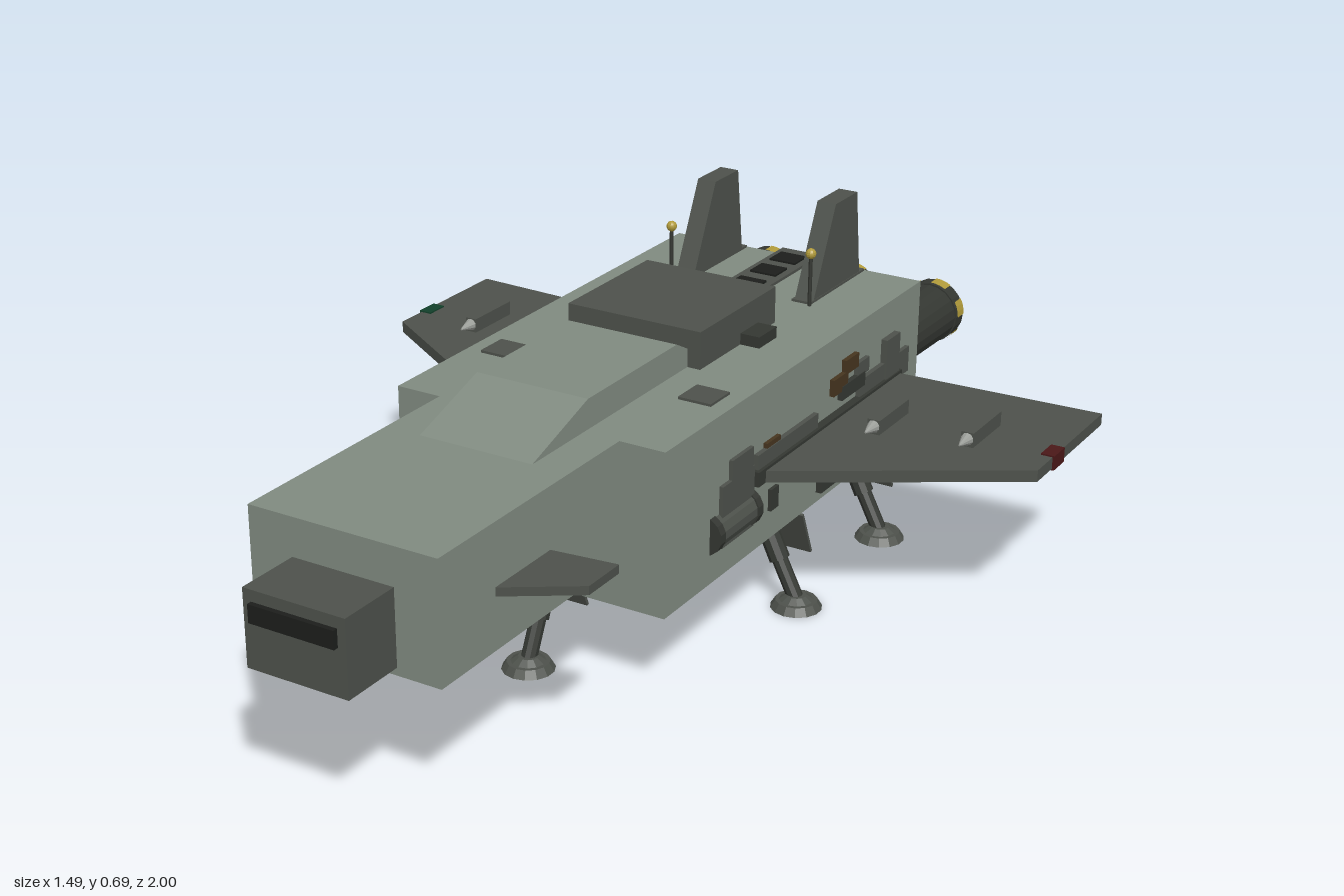
import * as THREE from 'three';

const mat = (color) => new THREE.MeshStandardMaterial({ color, flatShading: true });
const HULL = mat(0x808a80), GREY = mat(0x4d514b), DARK = mat(0x343732), BLACK = mat(0x1c1e1b);
const YELLOW = mat(0xb09a3a), BROWN = mat(0x46351f), SILVER = mat(0x9a9d98);
const RED = mat(0x4a1818), GREEN = mat(0x12402a);

export function createModel() {
  const root = new THREE.Group();
  const add = (name, geo, m, parent = root) => {
    const mesh = new THREE.Mesh(geo, m);
    mesh.name = name;
    parent.add(mesh);
    return mesh;
  };
  // box from its extents
  const box = (name, m, x0, x1, y0, y1, z0, z1) => add(name,
    new THREE.BoxGeometry(Math.abs(x1 - x0), Math.abs(y1 - y0), Math.abs(z1 - z0))
      .translate((x0 + x1) / 2, (y0 + y1) / 2, (z0 + z1) / 2), m);
  const extrude = (pts, depth) => new THREE.ExtrudeGeometry(
    new THREE.Shape(pts.map((p) => new THREE.Vector2(...p))), { depth, bevelEnabled: false });
  // flat plate from an (x, z) outline
  const plate = (name, m, pts, y0, y1) =>
    add(name, extrude(pts, y1 - y0).rotateX(Math.PI / 2).translate(0, y1, 0), m);
  // side profile (z, y) swept across x
  const profile = (name, m, pts, x0, x1) =>
    add(name, extrude(pts, x1 - x0).rotateY(-Math.PI / 2).translate(x1, 0, 0), m);
  // cylinder between two points
  const rod = (name, m, a, b, r0, r1 = r0, sides = 10) => {
    const A = new THREE.Vector3(...a), B = new THREE.Vector3(...b);
    const mesh = add(name, new THREE.CylinderGeometry(r1, r0, A.distanceTo(B), sides), m);
    mesh.position.copy(A).add(B).multiplyScalar(0.5);
    mesh.quaternion.setFromUnitVectors(new THREE.Vector3(0, 1, 0), B.sub(A).normalize());
    return mesh;
  };
  const ball = (name, m, r, x, y, z) =>
    add(name, new THREE.SphereGeometry(r, 10, 8).translate(x, y, z), m);

  // fuselage
  box('mainHull', HULL, -0.29, 0.29, 0.178, 0.507, -0.725, 0.305);
  box('forwardHull', HULL, -0.195, 0.195, 0.268, 0.507, 0.3, 0.855);
  box('nose', GREY, -0.105, 0.105, 0.283, 0.432, 0.85, 0.985);
  box('noseWindow', BLACK, -0.088, 0.088, 0.375, 0.41, 0.98, 0.995);
  profile('canopy', HULL, [[0.47, 0.5], [0.47, 0.507], [0.29, 0.566], [-0.02, 0.566], [-0.13, 0.507], [-0.13, 0.5]], -0.12, 0.12);
  box('dorsalBlock', GREY, -0.148, 0.148, 0.5, 0.583, -0.355, 0.062 - 0.122);

  // vent strips above and below the stern
  for (const [name, y, d] of [['dorsalVent', 0.507, 1], ['ventralVent', 0.178, -1]]) {
    box(name, GREY, -0.045, 0.045, y - d * 0.005, y + d * 0.006, -0.745, -0.44);
    for (const z of [-0.51, -0.6, -0.685])
      box(name + 'Opening', BLACK, -0.03, 0.03, y, y + d * 0.01, z - 0.026, z + 0.026);
  }

  // engines: barrel, striped rim, recessed nozzle
  for (const x of [-0.205, 0, 0.205]) {
    const engine = new THREE.Group();
    engine.name = 'engine';
    engine.position.set(x, 0.345, -0.71);
    engine.rotation.x = -Math.PI / 2;
    root.add(engine);
    const barrel = [[0, 0], [0.061, 0], [0.064, 0.25], [0.067, 0.25], [0.067, 0.285], [0.03, 0.285], [0.024, 0.25], [0, 0.25]]
      .map((p) => new THREE.Vector2(...p));
    add('engineBarrel', new THREE.LatheGeometry(barrel, 20), DARK, engine);
    add('nozzleCore', new THREE.CylinderGeometry(0.024, 0.024, 0.01, 12).translate(0, 0.256, 0), BROWN, engine);
    for (let i = 0; i < 6; i++)
      add('rimStripe', new THREE.CylinderGeometry(0.0685, 0.0685, 0.03, 3, 1, true, i * Math.PI / 3, Math.PI / 6)
        .translate(0, 0.27, 0), YELLOW, engine);
    add('rimCollar', new THREE.CylinderGeometry(0.036, 0.036, 0.006, 16, 1, true).translate(0, 0.287, 0), DARK, engine);
  }

  // nose gun pallet
  box('gunPallet', DARK, -0.145, 0.145, 0.255, 0.27, 0.325, 0.66);
  for (const x of [-0.093, 0, 0.093]) {
    box('gunMount', DARK, x - 0.008, x + 0.008, 0.235, 0.26, 0.475, 0.51);
    rod('gunBarrel', DARK, [x, 0.231, 0.435], [x, 0.231, 0.625], 0.011);
    ball('gunTip', YELLOW, 0.014, x, 0.231, 0.625);
  }

  // landing leg: mount, strut, piston, foot and door
  const leg = (tx, tz, fx, fz) => {
    box('legMount', DARK, tx - 0.04, tx + 0.04, 0.162, 0.18, tz - 0.05, tz + 0.05);
    const mid = [(tx + fx) / 2, 0.09, (tz + fz) / 2];
    rod('legStrut', DARK, [tx, 0.17, tz], mid, 0.021);
    rod('legPiston', DARK, mid, [fx, 0.015, fz], 0.016);
    rod('foot', GREY, [fx, 0, fz], [fx, 0.016, fz], 0.052, 0.042, 14);
    rod('ankle', GREY, [fx, 0.016, fz], [fx, 0.026, fz], 0.034, 0.02, 12);
    for (const s of [-1, 1]) ball('legHinge', YELLOW, 0.009, tx + s * 0.026, 0.155, tz);
    const w = 0.036 + (tx ? 0.012 : 0);
    const door = box('gearDoor', GREY, -w, w, -0.105, 0, -0.003, 0.003);
    door.position.set(tx * 1.08, 0.172, tz - 0.042);
    door.rotation.x = 0.4;
  };
  leg(0, 0.245, 0, 0.315);

  // everything mirrored left and right
  for (const s of [-1, 1]) {
    const side = (pts) => pts.map(([x, z]) => [s * x, z]);
    const sbox = (name, m, x0, x1, ...rest) => box(name, m, s * x0, s * x1, ...rest);

    // wing with tip light and stores
    plate('wing', GREY, side([[0.28, -0.02], [0.74, -0.31], [0.74, -0.63], [0.28, -0.61]]), 0.32, 0.344);
    sbox('tipLight', s > 0 ? RED : GREEN, 0.716, 0.744, 0.317, 0.347, -0.43, -0.38);
    for (const [x, y, z] of [[0.58, 0.36, -0.34], [0.4, 0.36, -0.3], [0.488, 0.298, -0.33]]) {
      sbox('missileRail', GREY, x - 0.013, x + 0.013, y - 0.017, y + 0.014, z - 0.13, z);
      rod('missileTip', SILVER, [s * x, y, z], [s * x, y, z + 0.035], 0.013, 0.002);
    }
    plate('canard', GREY, side([[0.19, 0.7], [0.325, 0.61], [0.325, 0.515], [0.19, 0.53]]), 0.37, 0.387);

    // tail fin and antenna
    profile('tailFin', GREY, [[-0.49, 0.5], [-0.58, 0.692], [-0.675, 0.692], [-0.7, 0.5]], s * 0.14 - 0.021, s * 0.14 + 0.021);
    sbox('finBase', GREY, 0.119, 0.162, 0.5, 0.512, -0.72, -0.48);
    rod('antenna', DARK, [s * 0.162, 0.5, -0.475], [s * 0.162, 0.61, -0.475], 0.004, 0.004, 6);
    ball('antennaTip', YELLOW, 0.011, s * 0.162, 0.618, -0.475);

    // deck plates
    sbox('deckHatch', GREY, 0.185, 0.255, 0.5, 0.512, -0.085, -0.015).position.z = 0.1 - 0.1;
    root.children.at(-1).position.z = 0.1;
    sbox('deckBracket', DARK, 0.14, 0.19, 0.5, 0.53, -0.285, -0.215);

    // side equipment: [material, y0, y1, z0, z1, outer x]
    for (const [m, y0, y1, z0, z1, x] of [
      [GREY, 0.24, 0.365, -0.01, 0.11, 0.298], [GREY, 0.365, 0.405, -0.005, 0.075, 0.298],
      [DARK, 0.24, 0.285, -0.11, -0.08, 0.297], [BROWN, 0.362, 0.39, -0.11, -0.057, 0.298],
      [GREY, 0.345, 0.38, -0.26, -0.02, 0.3], [DARK, 0.2, 0.246, -0.63, -0.28, 0.302],
      [BROWN, 0.39, 0.425, -0.385, -0.325, 0.3], [BROWN, 0.42, 0.45, -0.43, -0.375, 0.3],
      [GREY, 0.395, 0.425, -0.48, -0.43, 0.299], [DARK, 0.37, 0.4, -0.46, -0.36, 0.301],
      [GREY, 0.345, 0.385, -0.55, -0.44, 0.3], [GREY, 0.31, 0.435, -0.61, -0.55, 0.304],
      [GREY, 0.275, 0.32, -0.64, -0.59, 0.3], [GREY, 0.33, 0.385, -0.665, -0.6, 0.299],
      [DARK, 0.32, 0.35, -0.62, -0.01, 0.307],
    ]) sbox('sidePanel', m, 0.28, x, y0, y1, z0, z1);
    rod('sideTank', GREY, [s * 0.275, 0.275, -0.015], [s * 0.275, 0.275, 0.14], 0.037, 0.037, 14);
    for (const z of [-0.018, 0.125])
      rod('tankBand', DARK, [s * 0.275, 0.275, z], [s * 0.275, 0.275, z + 0.018], 0.04, 0.04, 14);

    leg(s * 0.225, -0.185, s * 0.31, -0.172);
    leg(s * 0.225, -0.552, s * 0.31, -0.54);
  }
  return root;
}
